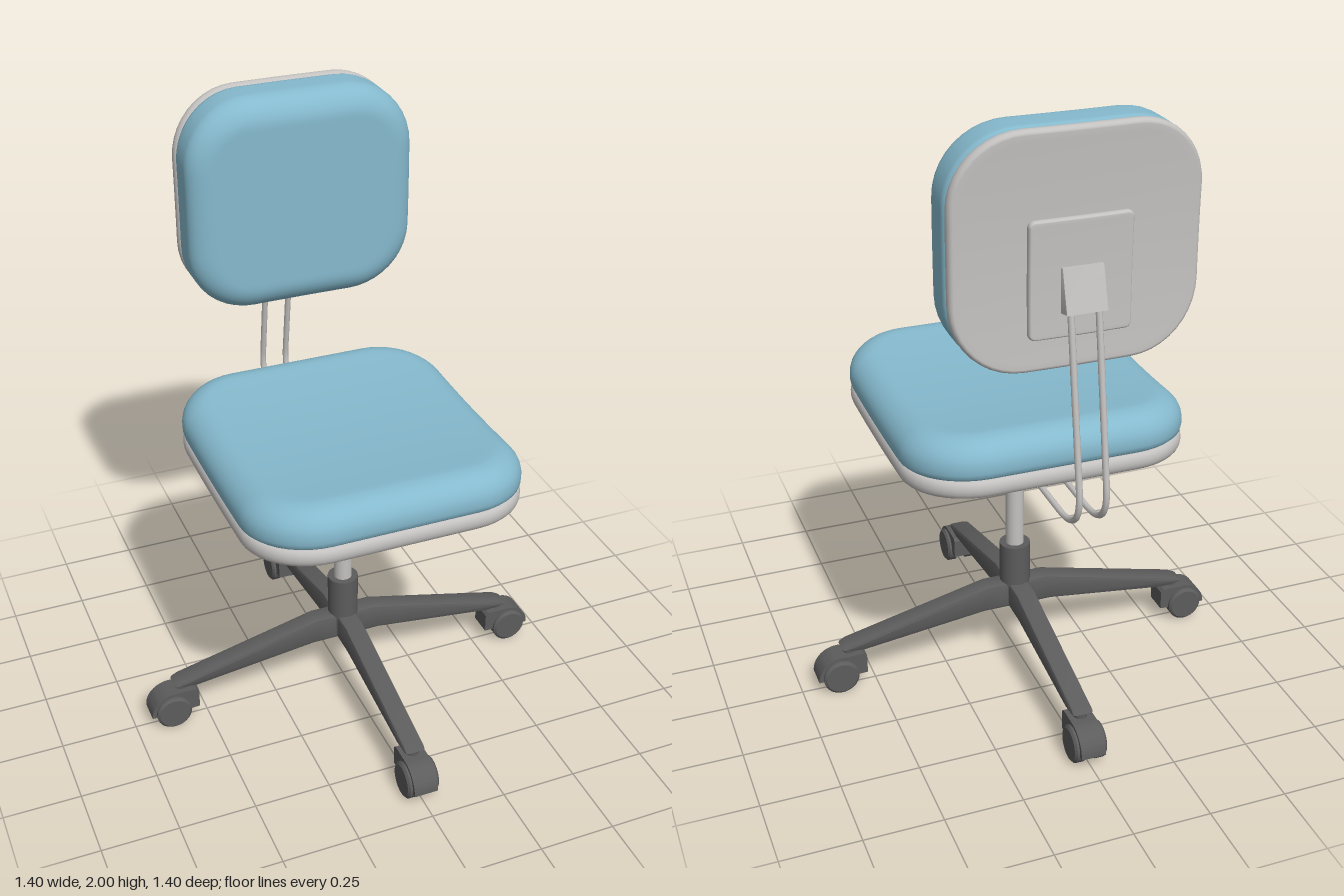
import * as THREE from 'three';
import { toCreasedNormals } from 'three/addons/utils/BufferGeometryUtils.js';

const material = (name, color, side = THREE.FrontSide) => {
  const m = new THREE.MeshStandardMaterial({ color, side });
  m.name = name;
  return m;
};

// Rounded-rectangle outline in x/z, with subdivided straight sides
function outline(hw, hd, r) {
  const corners = [[1, 1], [-1, 1], [-1, -1], [1, -1]];
  const arcs = corners.map(([sx, sz], k) => {
    const pts = [];
    for (let i = 0; i <= 10; i++) {
      const a = (k + i / 10) * Math.PI / 2;
      pts.push([sx * (hw - r) + r * Math.cos(a), sz * (hd - r) + r * Math.sin(a)]);
    }
    return pts;
  });
  const pts = [];
  arcs.forEach((arc, k) => {
    pts.push(...arc);
    const p = arc[10], q = arcs[(k + 1) % 4][0];
    for (let i = 1; i < 8; i++) {
      pts.push([p[0] + (q[0] - p[0]) * i / 8, p[1] + (q[1] - p[1]) * i / 8]);
    }
  });
  return pts;
}

// Soft pad from stacked outlines; profile rows are [inset, height, bend weight],
// bend is the lift at the x and z ends
function padGeometry(hw, hd, r, profile, bendX, bendZ, spanX = hw, spanZ = hd) {
  const first = profile[0], last = profile[profile.length - 1];
  const fill = [0, 0.2, 0.4, 0.6, 0.8, 0.95];
  const rings = [
    ...fill.map(f => [first, f]),
    ...profile.map(p => [p, 1]),
    ...fill.slice().reverse().map(f => [last, f]),
  ];
  const pos = [], index = [];
  let n = 0;
  for (const [[inset, h, w = 1], f] of rings) {
    const pts = outline(hw - inset, hd - inset, Math.max(r - inset, 0.01));
    n = pts.length;
    for (const [px, pz] of pts) {
      const x = px * f, z = pz * f;
      pos.push(x, h + w * (bendX * (x / spanX) ** 2 + bendZ * (z / spanZ) ** 2), z);
    }
  }
  for (let k = 0; k < rings.length - 1; k++) {
    for (let j = 0; j < n; j++) {
      const a = k * n + j, b = k * n + (j + 1) % n;
      index.push(a, a + n, b, b, a + n, b + n);
    }
  }
  const g = new THREE.BufferGeometry();
  g.setAttribute('position', new THREE.Float32BufferAttribute(pos, 3));
  g.setIndex(index);
  g.computeVertexNormals();
  return g;
}

// Cushion profile: small round at the seam, large round at the top
function cushionProfile(height, round, topWeight) {
  const rows = [[0.03, 0], [0.012, 0.004], [0.003, 0.012], [0, 0.026]];
  for (let i = 0; i <= 10; i++) {
    const a = i / 10 * Math.PI / 2;
    const w = 1 + (topWeight - 1) * i / 10;
    rows.push([round * (1 - Math.cos(a)), height - round * 0.85 * (1 - Math.sin(a)), w]);
  }
  return rows;
}

// Thin slab with rounded edges
function slabProfile(t, e) {
  const rows = [];
  for (let i = 0; i <= 8; i++) {
    const a = (i / 8 - 0.5) * Math.PI;
    rows.push([e * (1 - Math.cos(a)), t / 2 + t / 2 * Math.sin(a)]);
  }
  return rows;
}

// Side profile extruded to a centred width
function sideExtrude(shape, width, bevel) {
  const g = new THREE.ExtrudeGeometry(shape, {
    depth: width - 2 * bevel, bevelEnabled: bevel > 0, bevelThickness: bevel,
    bevelSize: bevel, bevelOffset: -bevel, bevelSegments: 2, curveSegments: 12,
  });
  g.translate(0, 0, -width / 2 + bevel);
  return toCreasedNormals(g, 0.5);
}

export function createModel() {
  const blue = material('blue fabric', 0x85b9cd);
  const grey = material('light grey', 0xc4c2c0);
  const dark = material('dark plastic', 0x5c5c5c);
  const model = new THREE.Group();
  model.name = 'swivelChair';

  const add = (parent, name, geometry, mat, x = 0, y = 0, z = 0) => {
    const m = new THREE.Mesh(geometry, mat);
    m.name = name;
    m.position.set(x, y, z);
    parent.add(m);
    return m;
  };
  const cylinder = (r, y0, y1, r2 = r) =>
    new THREE.CylinderGeometry(r2, r, y1 - y0, 32).translate(0, (y0 + y1) / 2, 0);

  // Seat
  const seat = new THREE.Group();
  seat.name = 'seat';
  seat.position.z = 0.037;
  model.add(seat);
  add(seat, 'seatCushion', padGeometry(0.456, 0.483, 0.22, cushionProfile(0.121, 0.095, 1.5), 0, 0.02), blue, 0, 0.914, 0);
  add(seat, 'seatShell', padGeometry(0.456, 0.483, 0.22, slabProfile(0.058, 0.018), 0, 0.018), grey, 0, 0.86, 0);
  add(model, 'seatPlate', padGeometry(0.31, 0.29, 0.03, slabProfile(0.028, 0.008), 0, 0.005), grey, 0, 0.841, 0);

  // Backrest, built lying down and turned to face forwards
  const back = new THREE.Group();
  back.name = 'backrest';
  back.position.set(0, 1.65, 0);
  back.rotation.x = Math.PI / 2;
  model.add(back);
  add(back, 'backCushion', padGeometry(0.374, 0.35, 0.21, cushionProfile(0.166, 0.085, 0), 0.014, -0.012), blue, 0, -0.473, 0);
  add(back, 'backShell', padGeometry(0.374, 0.35, 0.21, slabProfile(0.04, 0.014), 0.014, -0.012), grey, 0, -0.511, 0);
  add(back, 'backPlate', padGeometry(0.155, 0.175, 0.02, slabProfile(0.026, 0.007), 0.014, -0.012, 0.374, 0.35),
    grey, 0, -0.53, 0.075);

  // Wedge bracket that holds the rods
  const wedge = new THREE.Shape([[0.515, 1.61], [0.54, 1.61], [0.577, 1.485], [0.53, 1.475]]
    .map(([a, b]) => new THREE.Vector2(a, b)));
  add(model, 'backBracket', sideExtrude(wedge, 0.124, 0.003), grey).rotation.y = Math.PI / 2;

  // Pair of bent support rods
  for (const x of [0.042, -0.042]) {
    const v = (y, z) => new THREE.Vector3(x, y, z);
    const path = new THREE.CurvePath();
    path.add(new THREE.LineCurve3(v(0.825, -0.15), v(0.825, -0.49)));
    path.add(new THREE.CubicBezierCurve3(v(0.825, -0.49), v(0.825, -0.6), v(0.87, -0.66), v(0.98, -0.638)));
    path.add(new THREE.LineCurve3(v(0.98, -0.638), v(1.5, -0.553)));
    add(model, x > 0 ? 'leftRod' : 'rightRod', new THREE.TubeGeometry(path, 80, 0.01, 10), grey);
    add(model, 'rodEnd', new THREE.SphereGeometry(0.01, 10, 8), grey, x, 0.825, -0.15);
  }

  // Column
  add(model, 'columnCollar', cylinder(0.05, 0.818, 0.845), grey);
  add(model, 'column', cylinder(0.03, 0.4, 0.83), grey);
  add(model, 'hub', cylinder(0.051, 0.2, 0.425), dark);

  // Four-arm base with twin-wheel casters
  const armShape = new THREE.Shape([[0, 0.19], [0.12, 0.19], [0.54, 0.137], [0.605, 0.143], [0.615, 0.152],
    [0.59, 0.166], [0.105, 0.283], [0, 0.283]].map(([a, b]) => new THREE.Vector2(a, b)));
  const armGeo = sideExtrude(armShape, 0.07, 0.012);

  const hoodShape = new THREE.Shape();
  hoodShape.moveTo(0.535, 0.055);
  hoodShape.lineTo(0.7, 0.05);
  hoodShape.absarc(0.62, 0.05, 0.08, 0, Math.PI / 2, false);
  hoodShape.lineTo(0.545, 0.13);
  hoodShape.lineTo(0.535, 0.12);
  const hoodGeo = sideExtrude(hoodShape, 0.08, 0);

  const wheelGeo = toCreasedNormals(new THREE.LatheGeometry([[0, -0.017], [0.06, -0.017], [0.06, 0.01], [0.052, 0.017], [0, 0.017]]
    .map(([a, b]) => new THREE.Vector2(a, b)), 28).rotateX(Math.PI / 2), 0.5);
  for (let i = 0; i < 4; i++) {
    const leg = new THREE.Group();
    leg.name = 'baseLeg' + (i + 1);
    leg.rotation.y = i * Math.PI / 2;
    model.add(leg);
    add(leg, 'arm', armGeo, dark);
    add(leg, 'casterStem', cylinder(0.022, 0.12, 0.15), dark, 0.585, 0, 0);
    add(leg, 'casterHood', hoodGeo, dark);
    for (const s of [1, -1]) {
      const wheel = add(leg, 'wheel', wheelGeo, dark, 0.625, 0.06, s * 0.037);
      if (s < 0) wheel.rotation.y = Math.PI;
    }
  }
  return model;
}
